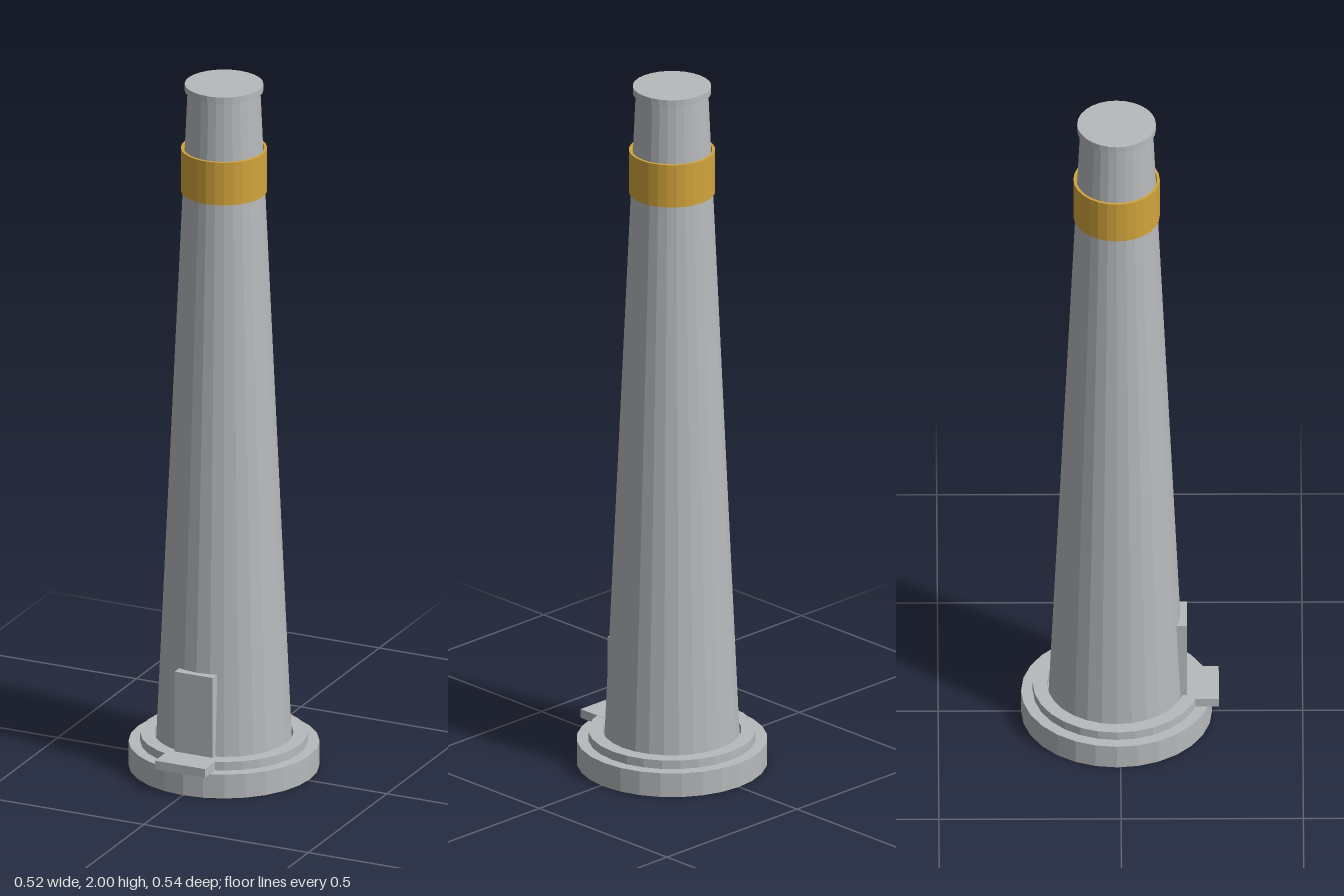
import * as THREE from 'three';

const SIDES = 28;
const AXIS_Z = -0.0105; // the round parts sit slightly behind the origin

export function createModel() {
  const model = new THREE.Group();
  model.name = 'chimneyTower';

  const stone = new THREE.MeshStandardMaterial({ color: 0xb7b9bb, flatShading: true });
  stone.name = 'stone grey';
  const gold = new THREE.MeshStandardMaterial({ color: 0xd2a53c, flatShading: true });
  gold.name = 'gold';

  const add = (name, geometry, material, x, y, z) => {
    const mesh = new THREE.Mesh(geometry, material);
    mesh.name = name;
    mesh.position.set(x, y, z);
    model.add(mesh);
  };

  // Solid round part between two heights
  const round = (name, rBottom, rTop, y0, y1) =>
    add(name, new THREE.CylinderGeometry(rTop, rBottom, y1 - y0, SIDES), stone, 0, (y0 + y1) / 2, AXIS_Z);

  // Hollow ring with a rectangular section
  const ring = (name, rInner, rOuter, y0, y1, material) => {
    const section = [[rInner, y0], [rOuter, y0], [rOuter, y1], [rInner, y1], [rInner, y0]];
    const points = section.map(([r, y]) => new THREE.Vector2(r, y));
    add(name, new THREE.LatheGeometry(points, SIDES), material, 0, 0, AXIS_Z);
  };

  // Box given by its limits
  const block = (name, x, y0, y1, z0, z1) =>
    add(name, new THREE.BoxGeometry(2 * x, y1 - y0, z1 - z0), stone, 0, (y0 + y1) / 2, (z0 + z1) / 2);

  // Foot and tapering shaft
  round('base', 0.262, 0.262, 0, 0.07);
  ring('baseStep', 0.191, 0.23, 0.07, 0.095, stone);
  round('shaft', 0.1865, 0.1, 0.07, 1.98);

  // Collar and cap
  ring('goldBand', 0.111, 0.1185, 1.687, 1.812, gold);
  round('cap', 0.108, 0.108, 1.98, 2);

  // Entrance at the front
  block('door', 0.0575, 0.07, 0.33, 0.14, 0.183);
  block('doorstep', 0.076, 0.07, 0.0955, 0.175, 0.27);

  return model;
}
